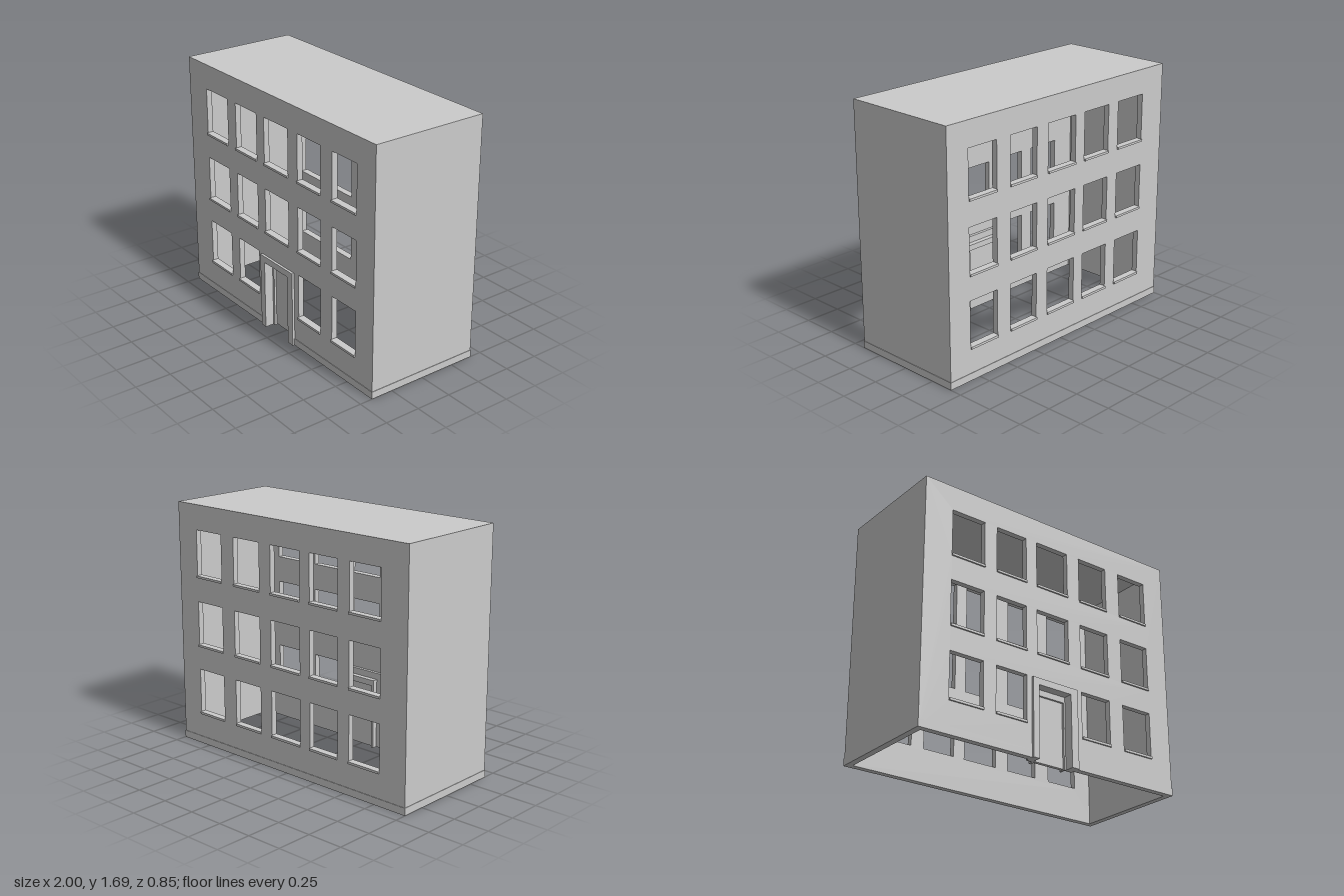
import * as THREE from 'three';

const material = new THREE.MeshStandardMaterial({ color: 0xcccccc, flatShading: true });

// Window columns [left, right] and rows [sill bottom, sill top, head]
const COLUMNS = [[-0.79, -0.54], [-0.444, -0.208], [-0.122, 0.134], [0.236, 0.472], [0.589, 0.825]];
const ROWS = [[0.216, 0.232, 0.54], [0.703, 0.718, 1.02], [1.187, 1.202, 1.515]];
const HEIGHT = 1.687, HALF = 0.997, WALL = 0.04;
const FRONT = 0.407, BACK = -0.414;
const DOOR = [-0.169, 0.189, 0.535]; // left, right, top of the door surround

function add(parent, name, geometry) {
  const mesh = new THREE.Mesh(geometry, material);
  mesh.name = name;
  parent.add(mesh);
  return mesh;
}

// Box given by its limits on each axis
function box(parent, name, x0, x1, y0, y1, z0, z1) {
  const mesh = add(parent, name, new THREE.BoxGeometry(x1 - x0, y1 - y0, z1 - z0));
  mesh.position.set((x0 + x1) / 2, (y0 + y1) / 2, (z0 + z1) / 2);
}

function polygon(points, Type = THREE.Shape) {
  return new Type(points.map(([x, y]) => new THREE.Vector2(x, y)));
}

function extrude(parent, name, shape, z0, z1) {
  const geometry = new THREE.ExtrudeGeometry(shape, { depth: z1 - z0, bevelEnabled: false });
  add(parent, name, geometry).position.z = z0;
}

// Upside-down U: outer limits, then the opening that reaches the ground
function doorway(parent, name, [l, r, t], [il, ir, it], z0, z1) {
  extrude(parent, name, polygon([[l, 0], [il, 0], [il, it], [ir, it], [ir, 0], [r, 0], [r, t], [l, t]]), z0, z1);
}

// Facade wall pierced by windows; a doorway replaces the middle ground window
function facade(parent, name, z0, z1, sillZ0, sillZ1, hasDoor) {
  const group = new THREE.Group();
  group.name = name;
  parent.add(group);
  const outline = [[-HALF, 0]];
  if (hasDoor) {
    const [l, r, t] = DOOR;
    outline.push([l, 0], [l, t], [r, t], [r, 0]);
  }
  outline.push([HALF, 0], [HALF, HEIGHT], [-HALF, HEIGHT]);
  const shape = polygon(outline);
  ROWS.forEach(([bottom, top, head], row) => {
    COLUMNS.forEach(([l, r], column) => {
      if (hasDoor && row === 0 && column === 2) return;
      shape.holes.push(polygon([[l, bottom], [l, head], [r, head], [r, bottom]], THREE.Path));
      box(group, 'windowSill', l, r, bottom, top, sillZ0, sillZ1);
    });
  });
  extrude(group, 'wall', shape, z0, z1);
}

export function createModel() {
  const model = new THREE.Group();
  model.name = 'building';

  // Shell: two pierced facades, plain end walls and a flat roof, open underneath
  facade(model, 'frontFacade', FRONT - WALL, FRONT, FRONT - WALL, FRONT + 0.011, true);
  facade(model, 'backFacade', BACK, BACK + WALL, BACK - 0.01, BACK + WALL, false);
  const inZ0 = BACK + WALL, inZ1 = FRONT - WALL;
  for (const [name, x] of [['rightWall', -HALF], ['leftWall', HALF - WALL]]) {
    box(model, name, x, x + WALL, 0, HEIGHT, inZ0, inZ1);
  }
  box(model, 'roof', -HALF + WALL, HALF - WALL, HEIGHT - 0.03, HEIGHT, inZ0, inZ1);

  // Slightly proud plinth band, interrupted at the door
  const plinth = new THREE.Group();
  plinth.name = 'plinth';
  model.add(plinth);
  const P = 0.003, H = 0.05;
  box(plinth, 'frontPlinth', -HALF - P, DOOR[0], 0, H, FRONT, FRONT + P);
  box(plinth, 'frontPlinth', DOOR[1], HALF + P, 0, H, FRONT, FRONT + P);
  box(plinth, 'backPlinth', -HALF - P, HALF + P, 0, H, BACK - P, BACK);
  box(plinth, 'rightPlinth', -HALF - P, -HALF, 0, H, BACK, FRONT);
  box(plinth, 'leftPlinth', HALF, HALF + P, 0, H, BACK, FRONT);

  // Door: projecting surround, recessed inner frame and panel
  const door = new THREE.Group();
  door.name = 'door';
  model.add(door);
  const opening = [-0.122, 0.134, 0.49], inner = [-0.105, 0.122, 0.45];
  doorway(door, 'doorSurround', DOOR, opening, 0.345, 0.424);
  doorway(door, 'doorFrame', opening, inner, 0.31, 0.36);
  box(door, 'doorPanel', inner[0], inner[1], 0.008, inner[2], 0.32, 0.345);

  return model;
}
